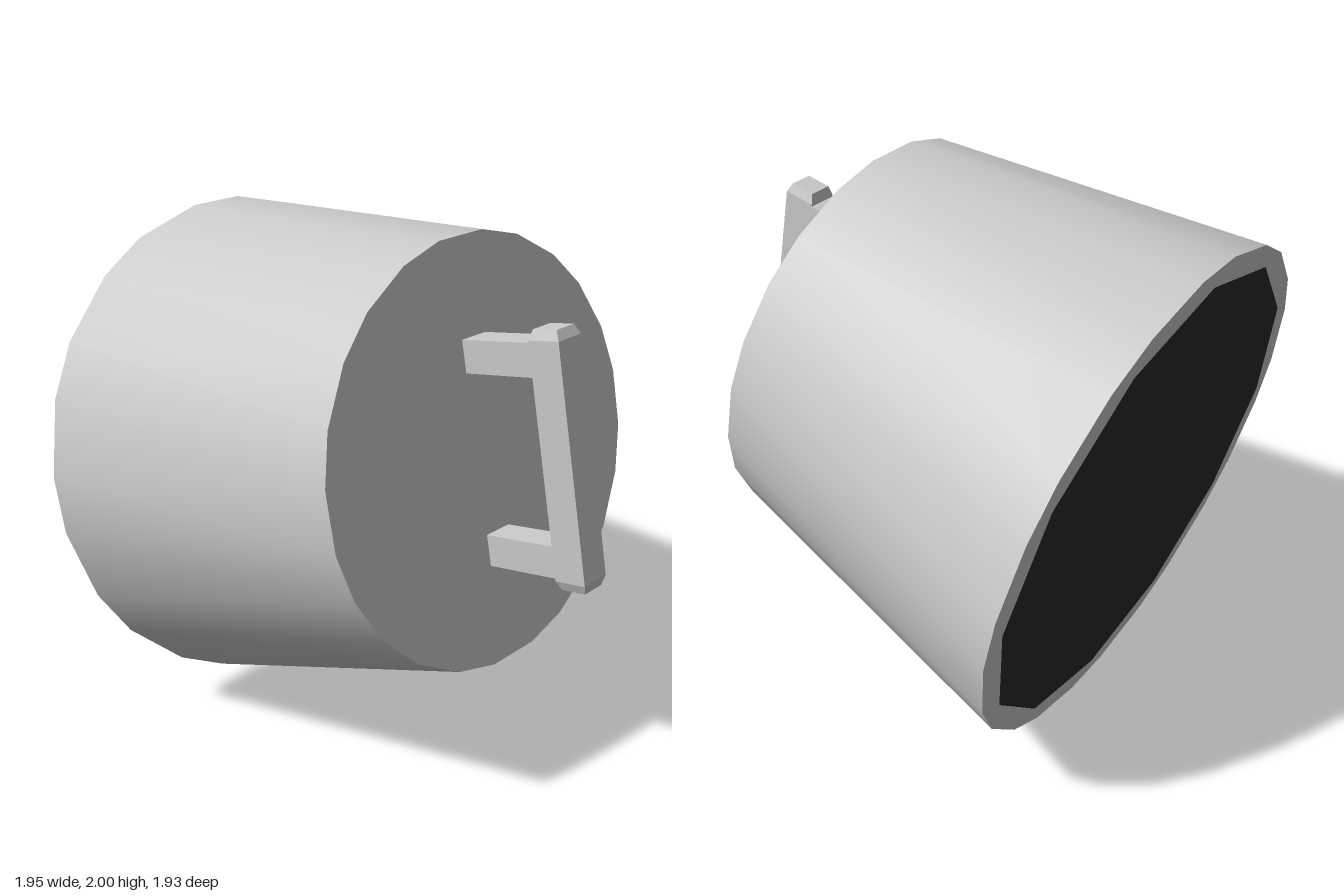
import * as THREE from 'three';
import { toCreasedNormals } from 'three/addons/utils/BufferGeometryUtils.js';

const CORNERS = 12;

// Ring of a 12-sided outline whose corners are cut by flats of equal width
function ring(apothem, halfFlat, offsetY, z) {
  const points = [];
  for (let k = 0; k < CORNERS; k++) {
    const a = (k / CORNERS) * Math.PI * 2;
    for (const t of [-halfFlat, halfFlat]) {
      points.push([
        apothem * Math.cos(a) - t * Math.sin(a),
        apothem * Math.sin(a) + t * Math.cos(a) + offsetY,
        z,
      ]);
    }
  }
  return points;
}

// Tapered solid between two rings, closed at both ends
function taperedBody(back, front, backCentre, frontCentre) {
  const n = back.length;
  const position = [...back, ...front, backCentre, frontCentre].flat();
  const index = [];
  for (let i = 0; i < n; i++) {
    const j = (i + 1) % n;
    index.push(i, j, n + j, i, n + j, n + i); // side
    index.push(2 * n, j, i); // back cap
    index.push(2 * n + 1, n + i, n + j); // front cap
  }
  const geometry = new THREE.BufferGeometry();
  geometry.setAttribute('position', new THREE.Float32BufferAttribute(position, 3));
  geometry.setIndex(index);
  return toCreasedNormals(geometry, 0.6);
}

// Upright bar whose two ends narrow slightly
function gripGeometry(width, height, depth, bevel, inset) {
  const geometry = new THREE.BoxGeometry(width, height, depth, 1, 3, 1);
  const p = geometry.attributes.position;
  for (let i = 0; i < p.count; i++) {
    const y = p.getY(i);
    if (Math.abs(y) > height * 0.4) {
      p.setX(i, p.getX(i) - Math.sign(p.getX(i)) * inset);
      p.setZ(i, p.getZ(i) - Math.sign(p.getZ(i)) * inset);
    } else {
      p.setY(i, Math.sign(y) * (height / 2 - bevel));
    }
  }
  return toCreasedNormals(geometry, 0.2);
}

export function createModel() {
  const model = new THREE.Group();
  model.name = 'taperedPlugWithHandle';
  const grey = new THREE.MeshStandardMaterial({ color: 0xcccccc });
  const dark = new THREE.MeshStandardMaterial({ color: 0x2b2b2b });

  // Everything is built around the front face, then tilted back
  const tilted = new THREE.Group();
  tilted.name = 'tiltedAssembly';
  tilted.position.set(0, 1.2425, 0.48);
  tilted.rotation.x = -0.195;
  model.add(tilted);

  const add = (name, geometry, material, x, y, z) => {
    const mesh = new THREE.Mesh(geometry, material);
    mesh.name = name;
    mesh.position.set(x, y, z);
    tilted.add(mesh);
    return mesh;
  };

  // Body: the wide back end sits slightly lower than the front
  const backY = -0.036;
  const backZ = -1.286;
  add('body', taperedBody(
    ring(0.973, 0.11, backY, backZ),
    ring(0.773, 0.11, 0, 0),
    [0, backY, backZ],
    [0, 0, 0],
  ), grey, 0, 0, 0);

  // Dark panel covering the back, leaving a thin rim
  const panel = add('backPanel', new THREE.CircleGeometry(0.905, CORNERS), dark, 0, backY, backZ - 0.003);
  panel.rotation.y = Math.PI;

  // Handle: grip on two legs
  add('handleGrip', gripGeometry(0.12, 0.918, 0.125, 0.035, 0.014), grey, 0, 0.009, 0.353);
  for (const [name, y] of [['upperHandleLeg', 0.366], ['lowerHandleLeg', -0.346]]) {
    add(name, new THREE.BoxGeometry(0.12, 0.118, 0.31), grey, 0, y, 0.145);
  }

  return model;
}
